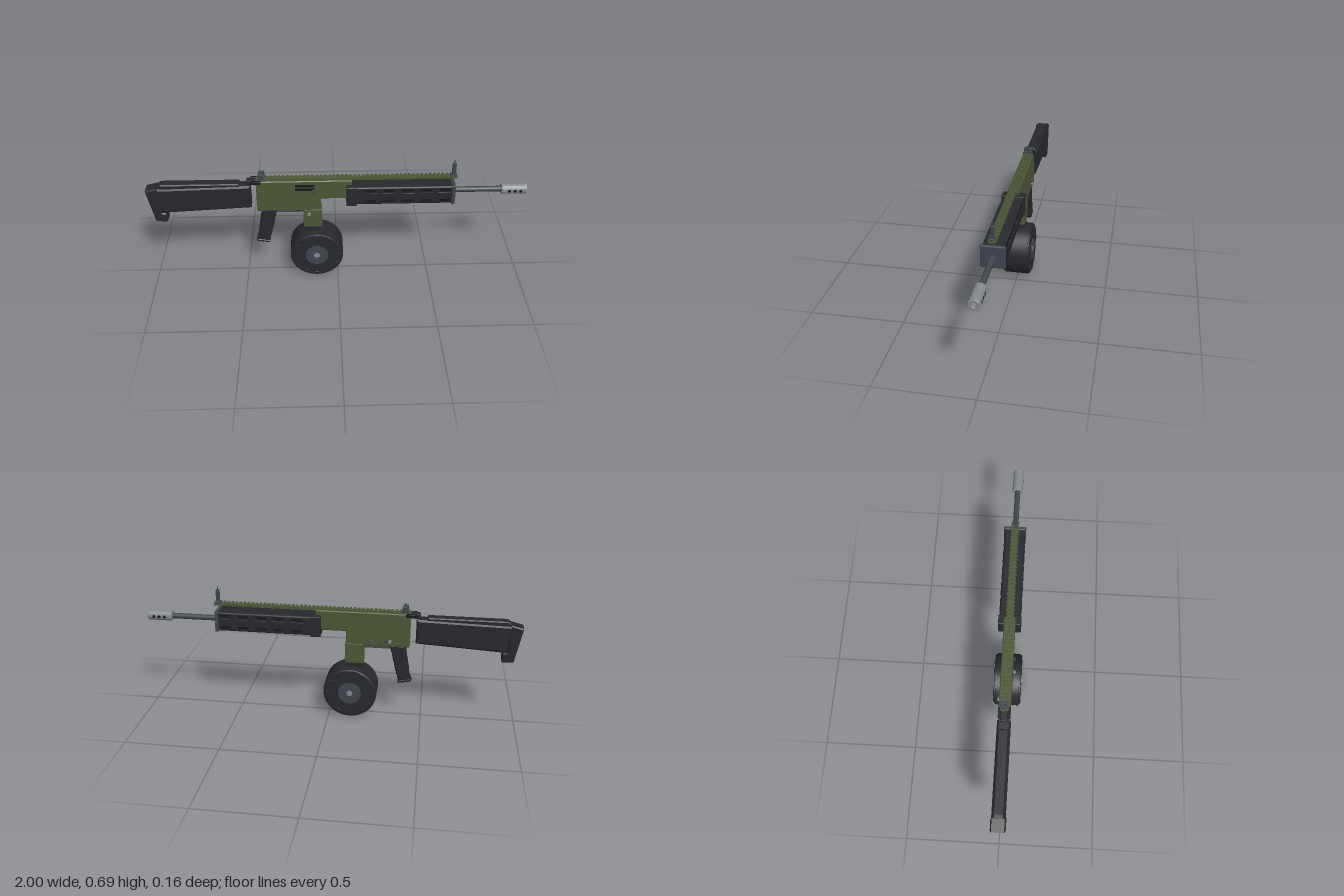
import * as THREE from 'three';
import { RoundedBoxGeometry } from 'three/addons/geometries/RoundedBoxGeometry.js';

const mat = (color) => new THREE.MeshStandardMaterial({ color });

export function createModel() {
  const model = new THREE.Group();
  const black = mat(0x27282c), darker = mat(0x17181b), green = mat(0x4d5735);
  const steel = mat(0x41454d), silver = mat(0x85888e);

  const add = (name, geometry, material, x = 0, y = 0, z = 0, parent = model) => {
    const mesh = new THREE.Mesh(geometry, material);
    mesh.name = name;
    mesh.position.set(x, y, z);
    parent.add(mesh);
    return mesh;
  };
  // box given by its limits in x and y, and its half width in z
  const block = (name, x0, x1, y0, y1, half, material, radius = 0, z = 0) => {
    const size = [x1 - x0, y1 - y0, half * 2];
    const g = radius ? new RoundedBoxGeometry(...size, 2, radius) : new THREE.BoxGeometry(...size);
    return add(name, g, material, (x0 + x1) / 2, (y0 + y1) / 2, z);
  };
  // side outline extruded across z with a small chamfer
  const slab = (name, points, half, material, bevel = 0.005) => {
    const g = new THREE.ExtrudeGeometry(new THREE.Shape(points.map((p) => new THREE.Vector2(...p))), {
      depth: 2 * (half - bevel), bevelEnabled: true, bevelSize: bevel,
      bevelThickness: bevel, bevelOffset: -bevel, bevelSegments: 1,
    });
    g.translate(0, 0, -(half - bevel));
    return add(name, g, material);
  };
  const disc = (name, r, depth, material, x, y, z, sides = 24) =>
    add(name, new THREE.CylinderGeometry(r, r, depth, sides).rotateX(Math.PI / 2), material, x, y, z);

  // Stock
  slab('stock', [[-0.955, 0.56], [-0.455, 0.572], [-0.455, 0.437], [-0.925, 0.411]], 0.034, black, 0.01);
  slab('cheekRest', [[-0.93, 0.55], [-0.935, 0.572], [-0.92, 0.583], [-0.515, 0.583], [-0.495, 0.55]], 0.026, black);
  slab('buttPad', [[-1, 0.552], [-0.936, 0.568], [-0.927, 0.416], [-0.905, 0.41], [-0.905, 0.358], [-0.965, 0.362]], 0.037, black, 0.006);
  block('stockHinge', -0.475, -0.415, 0.572, 0.598, 0.018, black, 0.004);
  for (const s of [-1, 1]) block('hingeEar', -0.455, -0.4, 0.58, 0.598, 0.007, darker, 0.002, s * 0.024);

  // Receiver and magazine well
  slab('receiver', [[-0.425, 0.412], [-0.088, 0.412], [-0.088, 0.487], [0.075, 0.487], [0.075, 0.597], [-0.425, 0.597]], 0.03, green, 0.004);
  block('magazineWell', -0.183, -0.083, 0.305, 0.418, 0.032, green, 0.004);
  block('ejectionPort', -0.222, -0.122, 0.562, 0.576, 0.003, darker, 0, 0.029);
  block('handleSlot', -0.222, -0.122, 0.54, 0.554, 0.003, darker, 0, 0.029);
  block('chargingHandle', -0.138, -0.122, 0.52, 0.546, 0.005, steel, 0.003, 0.034);
  disc('magazineRelease', 0.009, 0.014, silver, -0.152, 0.393, 0.035);
  disc('selectorPin', 0.009, 0.014, silver, -0.32, 0.443, -0.035);
  block('selectorLever', -0.315, -0.29, 0.438, 0.448, 0.003, steel, 0, -0.036);
  block('boltCatch', -0.235, -0.195, 0.435, 0.447, 0.004, steel, 0.002, -0.032);

  // Trigger guard and trigger
  block('triggerGuard', -0.33, -0.18, 0.393, 0.4, 0.012, steel);
  block('triggerGuardFront', -0.192, -0.18, 0.393, 0.415, 0.012, steel);
  block('trigger', -0.268, -0.258, 0.398, 0.415, 0.005, black);

  // Grip with a flared foot and ribs
  slab('grip', [[-0.4, 0.415], [-0.322, 0.415], [-0.372, 0.21], [-0.435, 0.222]], 0.023, black, 0.006);
  slab('gripFoot', [[-0.438, 0.225], [-0.442, 0.212], [-0.372, 0.199], [-0.367, 0.212]], 0.026, black, 0.003);
  for (let i = 0; i < 9; i++) {
    const t = 0.1 + i * 0.09;
    for (const [x0, x1] of [[-0.4, -0.433], [-0.324, -0.37]]) {
      const rib = add('gripRib', new THREE.BoxGeometry(0.007, 0.008, 0.032), black, x0 + (x1 - x0) * t, 0.415 - 0.2 * t);
      rib.rotation.z = -0.2;
    }
  }

  // Drum magazine
  block('magazineNeck', -0.174, -0.09, 0.26, 0.31, 0.03, black, 0.003);
  const cx = -0.115, cy = 0.144;
  const profile = [[0, -0.073], [0.132, -0.073], [0.138, -0.07], [0.138, -0.064], [0.144, -0.063]];
  const full = [...profile, ...profile.map(([r, z]) => [r, -z]).reverse()];
  // each straight run is lathed alone so that its edges stay sharp
  for (let i = 0; i < full.length - 1; i++) {
    const run = [full[i], full[i + 1]].map((p) => new THREE.Vector2(...p));
    add('drum', new THREE.LatheGeometry(run, 48).rotateX(Math.PI / 2), black, cx, cy);
  }
  for (const s of [-1, 1]) {
    disc('drumPlate', 0.062, 0.008, steel, cx, cy, s * 0.0715, 40);
    disc('drumHub', 0.016, 0.01, silver, cx, cy, s * 0.073);
    for (let i = 0; i < 12; i++) {
      const a = (i * Math.PI) / 6;
      const stud = block('drumStud', -0.012, 0.012, -0.008, 0.008, 0.004, black, 0.002);
      stud.position.set(cx + Math.cos(a) * 0.122, cy + Math.sin(a) * 0.122, s * 0.072);
      stud.rotation.z = a + Math.PI / 2;
    }
  }

  // Handguard: chamfered body, collar, end cap and slots
  block('handguard', 0.06, 0.605, 0.461, 0.566, 0.054, black, 0.009);
  block('handguardCollar', 0.045, 0.1, 0.456, 0.571, 0.06, black, 0.005);
  block('handguardCap', 0.596, 0.615, 0.456, 0.571, 0.06, steel, 0.005);
  for (let i = 0; i < 5; i++) {
    const x = 0.17 + i * 0.097;
    for (const s of [-1, 1]) {
      for (const y of [0.547, 0.483]) block('sideSlot', x - 0.029, x + 0.029, y - 0.007, y + 0.007, 0.002, darker, 0, s * 0.0535);
      block('sideRib', x - 0.035, x + 0.035, 0.498, 0.532, 0.003, black, 0.002, s * 0.055);
    }
    block('bottomSlot', x - 0.029, x + 0.029, 0.458, 0.463, 0.014, darker);
  }

  // Barrel and muzzle device
  const by = 0.513;
  add('barrel', new THREE.CylinderGeometry(0.015, 0.015, 0.28, 28).rotateZ(Math.PI / 2), steel, 0.74, by);
  const ring = new THREE.Shape().absarc(0, 0, 0.026, 0, Math.PI * 2);
  ring.holes.push(new THREE.Path().absarc(0, 0, 0.014, 0, Math.PI * 2, true));
  const muzzle = new THREE.ExtrudeGeometry(ring, {
    depth: 0.131, bevelEnabled: true, bevelSize: 0.002, bevelThickness: 0.002, bevelSegments: 1, curveSegments: 24,
  }).rotateY(Math.PI / 2);
  add('muzzleDevice', muzzle, silver, 0.867, by);
  add('bore', new THREE.CircleGeometry(0.015, 24).rotateY(Math.PI / 2), darker, 0.95, by);
  for (const x of [0.905, 0.935, 0.965]) {
    for (const s of [-1, 1]) disc('muzzlePort', 0.008, 0.003, darker, x, by, s * 0.0275, 16);
  }

  // Top rail with teeth
  block('rail', -0.425, 0.625, 0.591, 0.6, 0.016, green);
  for (let i = 0; i < 48; i++) {
    const x = -0.422 + i * 0.022;
    block('railTooth', x, x + 0.012, 0.597, 0.606, 0.021, green);
  }

  // Sights
  block('rearSightBase', -0.415, -0.378, 0.604, 0.62, 0.022, steel, 0.002);
  for (const s of [-1, 1]) block('rearSightEar', -0.41, -0.382, 0.615, 0.636, 0.007, steel, 0.002, s * 0.015);
  block('rearSightLeaf', -0.4, -0.39, 0.615, 0.646, 0.006, steel);
  block('frontSightBase', 0.588, 0.622, 0.602, 0.612, 0.014, steel, 0.002);
  block('frontSightPost', 0.596, 0.616, 0.608, 0.676, 0.007, steel, 0.002);
  block('frontSightTip', 0.602, 0.608, 0.67, 0.692, 0.002, steel);

  return model;
}
